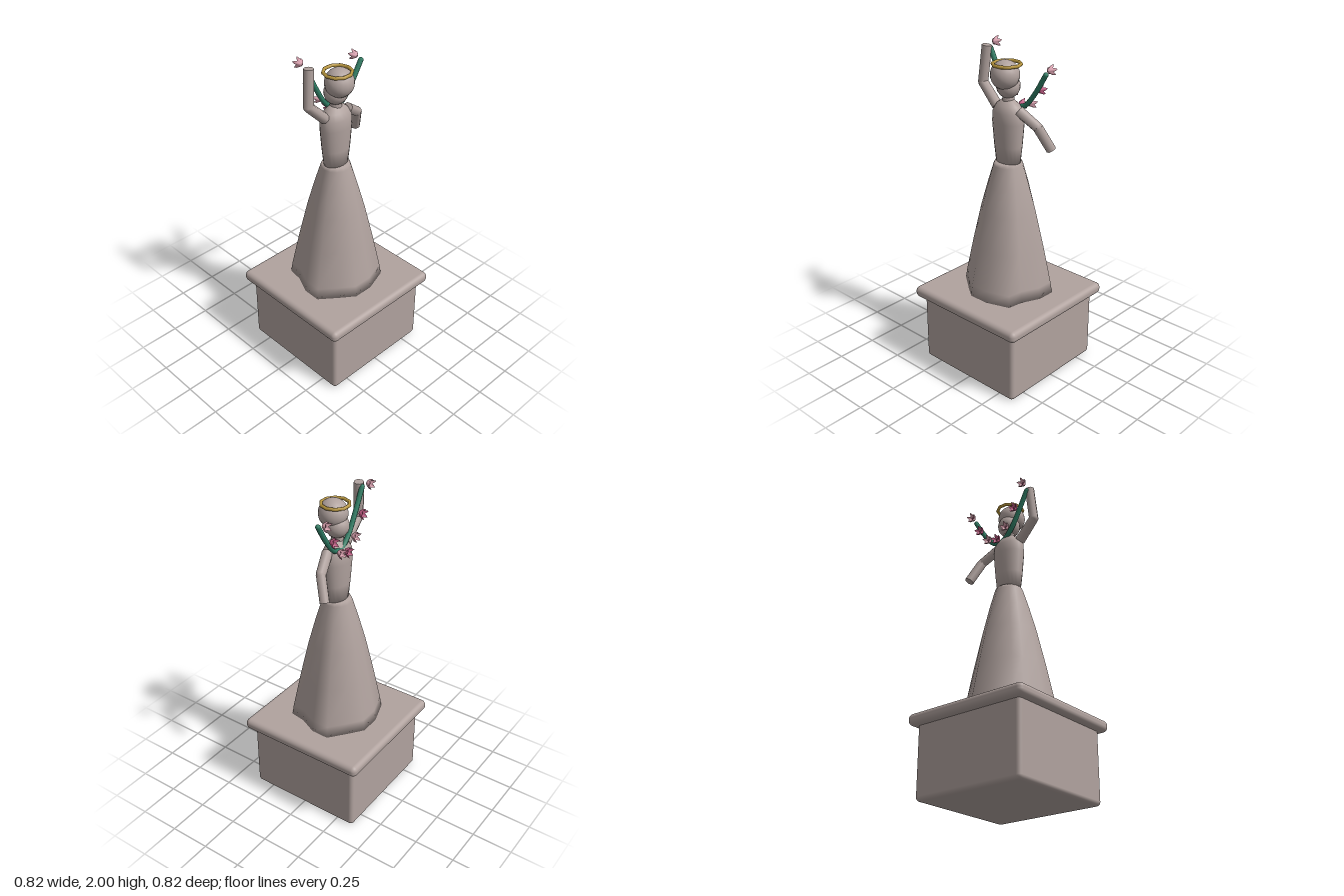
import * as THREE from 'three';
import { RoundedBoxGeometry } from 'three/addons/geometries/RoundedBoxGeometry.js';

const V = (x, y, z) => new THREE.Vector3(x, y, z);
const mat = (name, color, side = THREE.FrontSide) =>
  new THREE.MeshStandardMaterial({ name, color, side });

export function createModel() {
  const stone = mat('stone', 0xb0a29e);
  const green = mat('stem green', 0x2f7d64);
  const gold = mat('gold', 0xb8963e);
  const palePink = mat('pale pink', 0xd8a0ae, THREE.DoubleSide);
  const deepPink = mat('deep pink', 0xc65f88, THREE.DoubleSide);

  const model = new THREE.Group();
  model.name = 'statue';
  const add = (name, geometry, material, x = 0, y = 0, z = 0, parent = model) => {
    const mesh = new THREE.Mesh(geometry, material);
    mesh.name = name;
    mesh.position.set(x, y, z);
    parent.add(mesh);
    return mesh;
  };

  // Pedestal and its overhanging slab
  add('pedestal', new RoundedBoxGeometry(0.73, 0.45, 0.73, 3, 0.025), stone, 0, 0.225, 0);
  add('pedestalSlab', new RoundedBoxGeometry(0.816, 0.07, 0.816, 4, 0.03), stone, 0, 0.465, 0);

  add('skirt', skirtGeometry(), stone);

  // Torso, flattened front to back
  const torsoProfile = [[0, 1.32], [0.08, 1.32], [0.092, 1.42], [0.104, 1.56], [0.1, 1.62],
    [0.078, 1.66], [0.04, 1.69], [0, 1.7]].map(p => new THREE.Vector2(...p));
  const torso = add('torso', new THREE.LatheGeometry(torsoProfile, 20), stone);
  torso.scale.z = 0.73;

  // Neck, head and gathered hair
  add('neck', new THREE.CylinderGeometry(0.032, 0.036, 0.12, 12), stone, 0, 1.72, 0);
  add('head', new THREE.SphereGeometry(0.084, 18, 14), stone, 0, 1.837, 0.027);
  add('hair', new THREE.SphereGeometry(0.069, 16, 12), stone, 0, 1.768, 0.0);

  // Halo
  const halo = add('halo', new THREE.TorusGeometry(0.08, 0.01, 8, 10), gold, 0, 1.895, 0.013);
  halo.rotation.x = Math.PI / 2;

  // Arms: two tapered limbs joined by a rounded elbow
  const limb = (name, a, b, ra, rb, parent) => {
    const dir = b.clone().sub(a);
    const mesh = add(name, new THREE.CylinderGeometry(rb, ra, dir.length(), 8), stone, 0, 0, 0, parent);
    mesh.position.copy(a).add(b).multiplyScalar(0.5);
    mesh.quaternion.setFromUnitVectors(V(0, 1, 0), dir.normalize());
  };
  const arm = (name, shoulder, elbow, hand) => {
    const group = new THREE.Group();
    group.name = name;
    limb('upperArm', shoulder, elbow, 0.031, 0.029, group);
    limb('forearm', elbow, hand, 0.029, 0.029, group);
    add('elbow', new THREE.SphereGeometry(0.029, 8, 6), stone, elbow.x, elbow.y, elbow.z, group);
    model.add(group);
  };
  arm('rightArm', V(-0.085, 1.635, 0), V(-0.2, 1.75, -0.005), V(-0.18, 1.965, -0.018));
  arm('leftArm', V(0.085, 1.64, 0.005), V(0.195, 1.56, -0.03), V(0.245, 1.425, -0.09));

  // Garland stem hanging behind the shoulders
  const sag = new THREE.CatmullRomCurve3([[-0.175, 1.945], [-0.11, 1.815], [-0.045, 1.705],
    [0.02, 1.65], [0.085, 1.66], [0.16, 1.745], [0.235, 1.865]].map(([x, y]) => V(x, y, -0.043)));
  add('garlandStem', new THREE.TubeGeometry(sag, 24, 0.015, 8), green);
  for (const t of [0, 1]) {
    const p = sag.getPoint(t);
    add('stemEnd', new THREE.SphereGeometry(0.015, 8, 6), green, p.x, p.y, p.z);
  }

  // Blossoms along the garland, opening backwards
  const heights = [1.972, 1.82, 1.71, 1.645, 1.665, 1.757, 1.88];
  const petals = blossomGeometry();
  heights.forEach((y, i) => {
    const flower = new THREE.Group();
    flower.name = 'blossom';
    flower.position.set(-0.18 + i * 0.0683, y, -0.066);
    add('petals', petals, i % 2 ? deepPink : palePink, 0, 0, 0, flower);
    add('blossomHeart', new THREE.SphereGeometry(0.009, 8, 6), deepPink, 0, 0, -0.016, flower);
    model.add(flower);
  });

  return model;
}

// Indexed surface through equal-length rings of points
function loft(rings) {
  const n = rings[0].length, index = [];
  for (let i = 0; i < rings.length - 1; i++) {
    for (let j = 0; j < n; j++) {
      const a = i * n + j, b = i * n + (j + 1) % n;
      index.push(a, a + n, b, b, a + n, b + n);
    }
  }
  const geometry = new THREE.BufferGeometry();
  geometry.setAttribute('position', new THREE.Float32BufferAttribute(rings.flat(2), 3));
  geometry.setIndex(index);
  geometry.computeVertexNormals();
  return geometry;
}

// Skirt: a round waist widening into an uneven, folded hem
function skirtGeometry() {
  const half = [[0.258, 0], [0.207, 0.11], [0.193, 0.203], [0.05, 0.252], [-0.072, 0.252],
    [-0.15, 0.195], [-0.26, 0.108]];
  const hem = [...half, ...half.map(([x, z]) => [-x, -z])];
  // height, radius, amount of fold
  const levels = [[0.5, 0, 1], [0.5, 0.26, 1], [0.57, 0.25, 1], [0.8, 0.207, 0.85], [1.02, 0.162, 0.6],
    [1.18, 0.122, 0.35], [1.3, 0.088, 0.08], [1.32, 0.08, 0], [1.322, 0, 0]];
  return loft(levels.map(([y, r, fold]) => hem.map(([x, z], j) => {
    const a = j / hem.length * Math.PI * 2;
    const px = THREE.MathUtils.lerp(Math.cos(a), x / 0.26, fold);
    const pz = THREE.MathUtils.lerp(Math.sin(a), z / 0.26, fold);
    return [px * r, y, pz * r];
  })));
}

// Five-petalled cup opening towards -z
function blossomGeometry() {
  const levels = [[0, 0, 0], [0.014, 0.013, -0.008], [0.028, 0.02, -0.026], [0.032, 0.018, -0.046]];
  const rings = levels.map(([tip, notch, z], k) => Array.from({ length: 20 }, (_, j) => {
    const a = j / 20 * Math.PI * 2 + Math.PI / 2;
    const w = 0.5 + 0.5 * Math.cos(j / 4 * Math.PI * 2);
    const r = THREE.MathUtils.lerp(notch, tip, w);
    return [Math.cos(a) * r, Math.sin(a) * r, k === 3 ? THREE.MathUtils.lerp(-0.028, z, w) : z];
  }));
  return loft(rings);
}
